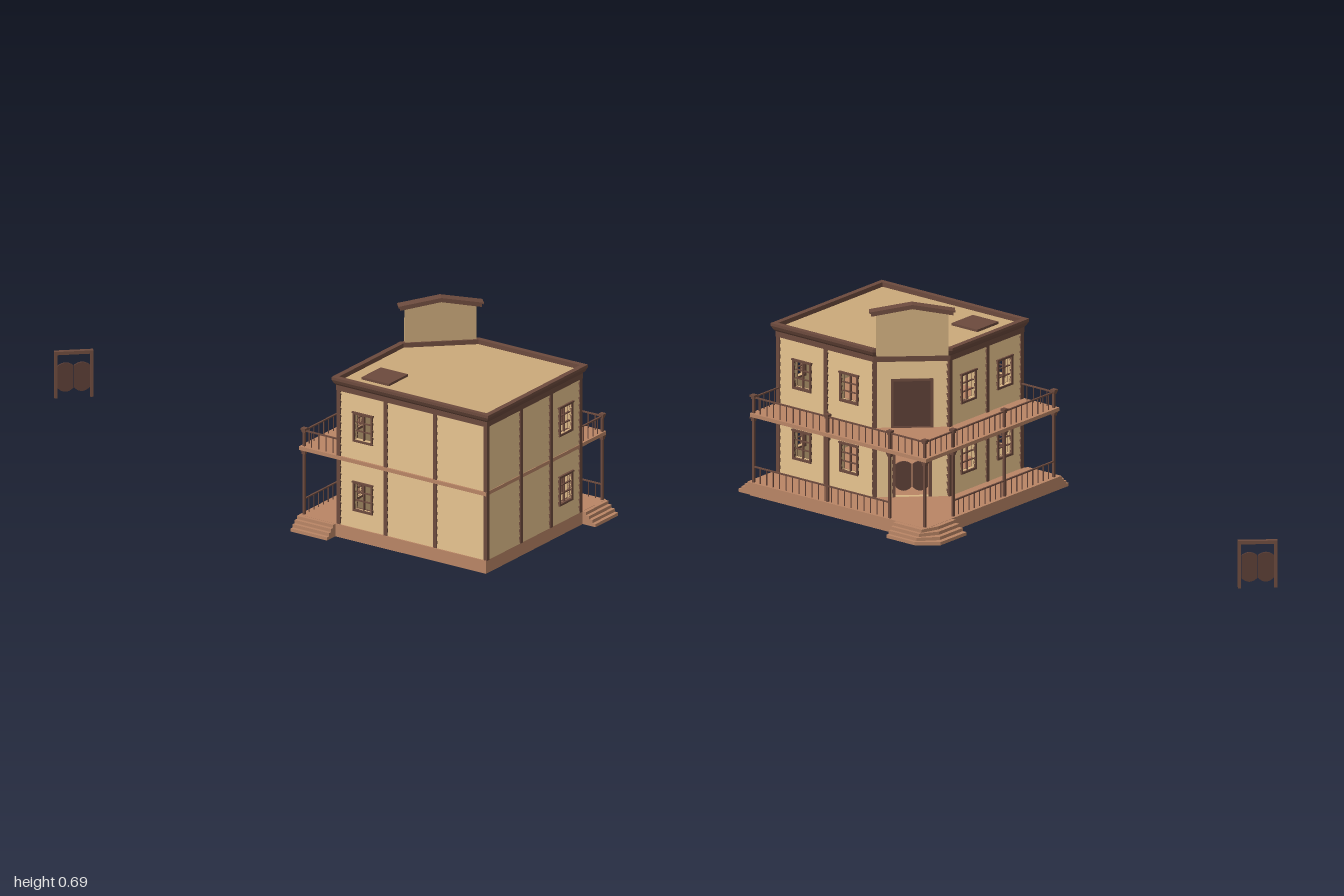
import * as THREE from 'three';
import { mergeGeometries } from 'three/addons/utils/BufferGeometryUtils.js';

const mat = (color) => new THREE.MeshStandardMaterial({ color, flatShading: true });
const WALL = mat(0xd8b684), ROOF = mat(0xcaa97a), BASE = mat(0xb98565), TRIM = mat(0x6c4a3d), DARK = mat(0x5a3d35);

const BASE_Y = 0.043, FLOOR_Y = 0.262, DECK_Y = 0.274, WALL_TOP = 0.5;
// Wall corners (x, z), walked so that every wall faces outward
const PLAN = [[0.38, 0.325], [0.945, 0.325], [0.945, -0.19], [0.555, -0.19], [0.38, -0.03]];

function add(parent, name, geo, material) {
  const m = new THREE.Mesh(geo, material);
  m.name = name;
  parent.add(m);
  return m;
}
// Box given by its lower and upper limits
const box = (x0, x1, y0, y1, z0, z1) =>
  new THREE.BoxGeometry(x1 - x0, y1 - y0, z1 - z0).translate((x0 + x1) / 2, (y0 + y1) / 2, (z0 + z1) / 2);

const polygon = (pts) => new THREE.Shape(pts.map(([x, y]) => new THREE.Vector2(x, y)));
const rect = (x0, x1, y0, y1) => [[x0, y0], [x1, y0], [x1, y1], [x0, y1]];
const extrude = (shape, z0, z1) =>
  new THREE.ExtrudeGeometry(shape, { depth: z1 - z0, bevelEnabled: false, curveSegments: 8 }).translate(0, 0, z0);

// Horizontal slab over an (x, z) outline
const slab = (pts, y0, y1) => extrude(polygon(pts.map(([x, z]) => [x, -z])), y0, y1).rotateX(-Math.PI / 2);

// Rectangular panel with rectangular openings {x0,x1,y0,y1}
function panel(pts, openings, z0, z1) {
  const s = polygon(pts);
  for (const o of openings) s.holes.push(polygon(rect(o.x0, o.x1, o.y0, o.y1)));
  return extrude(s, z0, z1);
}

// Outline grown by d with mitred corners
function offset(pts, d) {
  const n = pts.length;
  const normal = (a, b) => {
    const l = Math.hypot(b[0] - a[0], b[1] - a[1]);
    return [-(b[1] - a[1]) / l, (b[0] - a[0]) / l];
  };
  return pts.map((p, i) => {
    const u = normal(pts[(i + n - 1) % n], p), v = normal(p, pts[(i + 1) % n]);
    const k = d / (1 + u[0] * v[0] + u[1] * v[1]);
    return [p[0] + k * (u[0] + v[0]), p[1] + k * (u[1] + v[1])];
  });
}

// Moulding: a profile of [offset, height] carried round the plan
function moulding(profile) {
  const pos = [];
  const rings = profile.map(([d, y]) => offset(PLAN, d).map(([x, z]) => [x, y, z]));
  for (let k = 0; k + 1 < rings.length; k++) {
    for (let i = 0; i < PLAN.length; i++) {
      const j = (i + 1) % PLAN.length, [r, s] = [rings[k], rings[k + 1]];
      for (const p of [r[i], r[j], s[j], r[i], s[j], s[i]]) pos.push(...p);
    }
  }
  const g = new THREE.BufferGeometry();
  g.setAttribute('position', new THREE.Float32BufferAttribute(pos, 3));
  g.computeVertexNormals();
  return g;
}

// Group whose x axis runs from a to b and whose z axis faces outward
function along(parent, name, a, b) {
  const g = new THREE.Group();
  g.name = name;
  g.position.set(a[0], 0, a[1]);
  g.rotation.y = Math.atan2(a[1] - b[1], b[0] - a[0]);
  parent.add(g);
  return g;
}

// Lapped boards, cut round the openings
function siding(len, openings) {
  const step = 0.0246, parts = [];
  for (let r0 = BASE_Y; r0 < WALL_TOP - 0.005; r0 += step) {
    const r1 = Math.min(r0 + step, WALL_TOP);
    const ys = [r0, ...openings.flatMap((o) => [o.y0, o.y1]).filter((y) => y > r0 && y < r1), r1];
    ys.sort((a, b) => a - b);
    for (let k = 0; k + 1 < ys.length; k++) {
      if (ys[k + 1] - ys[k] < 1e-5) continue;
      const mid = (ys[k] + ys[k + 1]) / 2;
      let x = 0;
      const piece = (x0, x1) => {
        const g = box(x0, x1, ys[k], ys[k + 1], -0.003, 1), p = g.attributes.position;
        for (let i = 0; i < p.count; i++)
          if (p.getZ(i) > 0.5) p.setZ(i, 0.005 - 0.005 * (p.getY(i) - r0) / step);
        g.computeVertexNormals();
        parts.push(g);
      };
      for (const o of openings.filter((q) => mid > q.y0 && mid < q.y1).sort((a, b) => a.x0 - b.x0)) {
        piece(x, o.x0);
        x = o.x1;
      }
      piece(x, len);
    }
  }
  return mergeGeometries(parts);
}

function windowFrame(parent, o) {
  const { x0, x1, y0, y1 } = o, cx = (x0 + x1) / 2, h = y1 - y0, e = 0.007;
  const parts = [panel(rect(x0 - e, x1 + e, y0 - e, y1 + e), [o], -0.012, 0.008).toNonIndexed?.() ?? null].filter(Boolean);
  const bars = [box(cx - 0.0022, cx + 0.0022, y0, y1, -0.006, 0.001)];
  for (const k of [1, 2]) bars.push(box(x0, x1, y0 + h * k / 3 - 0.0015, y0 + h * k / 3 + 0.0015, -0.006, 0.001));
  bars.push(box(x0 - 0.009, x1 + 0.009, y1 + 0.003, y1 + 0.008, -0.002, 0.01));
  parts.forEach((p) => add(parent, 'windowFrame', p, TRIM));
  add(parent, 'windowBars', mergeGeometries(bars), TRIM);
}

// Swing doors hung in an open frame, centred on x = 0
function swingDoors(parent) {
  const g = new THREE.Group(), w = 0.0625, t = 0.0075;
  g.name = 'swingDoors';
  for (const s of [-1, 1]) {
    add(g, 'doorPost', box(Math.min(s * w, s * (w - 0.01)), Math.max(s * w, s * (w - 0.01)), 0.043, 0.2, -t, t), TRIM);
    const leaf = new THREE.Shape();
    leaf.moveTo(-0.025, 0.075);
    leaf.quadraticCurveTo(0, 0.05, 0.025, 0.075);
    leaf.lineTo(0.025, 0.15);
    leaf.quadraticCurveTo(0, 0.17, -0.025, 0.15);
    leaf.closePath();
    add(g, 'doorLeaf', extrude(leaf, -0.003, 0.003).translate(s * 0.0262, 0, 0), DARK);
  }
  add(g, 'doorHead', box(-w, w, 0.189, 0.2, -t, t), TRIM);
  parent.add(g);
  return g;
}

function railing(parent, a, b, y) {
  const g = along(parent, 'railing', a, b), len = Math.hypot(b[0] - a[0], b[1] - a[1]);
  const n = Math.max(2, Math.round(len / 0.027)), parts = [box(0, len, y + 0.05, y + 0.054, -0.003, 0.003)];
  for (let i = 1; i < n; i++) parts.push(box(len * i / n - 0.0013, len * i / n + 0.0013, y, y + 0.051, -0.0013, 0.0013));
  add(g, 'railAndBalusters', mergeGeometries(parts), TRIM);
}

function porchPost(parent, [x, z]) {
  const b = (r, y0, y1) => box(x - r, x + r, y0, y1, z - r, z + r);
  add(parent, 'porchPost', mergeGeometries([
    b(0.004, BASE_Y, FLOOR_Y), b(0.0065, 0.248, 0.256), b(0.009, 0.256, FLOOR_Y),
    b(0.004, DECK_Y, 0.327), b(0.0065, 0.321, 0.328), b(0.009, 0.328, 0.335)]), TRIM);
}

export function createModel() {
  const model = new THREE.Group();
  model.name = 'timberHouse';

  // Plinth, balcony deck and stairs
  const deck = [[0.23, 0.335], [0.95, 0.335], [0.95, -0.33], [0.23, -0.33]];
  add(model, 'plinth', slab(deck, 0, BASE_Y), BASE);
  add(model, 'balconyDeck', slab(deck, FLOOR_Y, DECK_Y), BASE);
  for (let k = 0; k < 4; k++) {
    const d = 0.0115 * (4 - k), y0 = k * 0.0107, y1 = y0 + 0.0107 - (k === 3 ? 0.0004 : 0), c = d * 1.3;
    add(model, 'frontStep', box(0.23, 0.37, y0, y1, 0.32, 0.335 + d), BASE);
    add(model, 'sideStep', box(0.93, 0.95 + d * 1.087, y0, y1, -0.325, -0.2), BASE);
    add(model, 'cornerStep', slab([[0.35, -0.2], [0.35, -0.335 - d], [0.235, -0.335 - d],
      [0.23 - c, -0.27 - c], [0.23 - c, -0.2]], y0, y1), BASE);
  }

  // Walls: pilaster positions, window centres, or the corner doorway
  const specs = [
    { name: 'frontWall', posts: [0, 0.18, 0.37], windows: [0.0925] },
    { name: 'leftWall', posts: [0, 0.185, 0.35], windows: [0.432] },
    { name: 'backWall', posts: [0, 0.195], windows: [0.0975, 0.29] },
    { name: 'cornerWall', posts: [0], windows: [], doors: true },
    { name: 'rightWall', posts: [0, 0.185], windows: [0.09, 0.27] },
  ];
  specs.forEach((s, i) => {
    const a = PLAN[i], b = PLAN[(i + 1) % PLAN.length], len = Math.hypot(b[0] - a[0], b[1] - a[1]);
    const g = along(model, s.name, a, b), c = len / 2;
    const wins = s.windows.flatMap((x) => [0.107, 0.342].map((y) => ({ x0: x - 0.031, x1: x + 0.031, y0: y, y1: y + 0.086 })));
    const holes = s.doors ? [{ x0: c - 0.06, x1: c + 0.06, y0: BASE_Y + 0.001, y1: 0.197 },
      { x0: c - 0.06, x1: c + 0.06, y0: DECK_Y, y1: 0.43 }] : wins;
    add(g, 'wallPanel', panel(rect(0, len, BASE_Y, WALL_TOP), holes, -0.01, -0.002), WALL);
    add(g, 'siding', siding(len, holes), WALL);
    wins.forEach((o) => windowFrame(g, o));
    for (const x of s.posts) add(g, 'pilaster', box(x - 0.007, x + 0.007, BASE_Y, WALL_TOP, -0.007, 0.007), TRIM);
    if (!s.doors) return;

    // Corner entrance, upper door and the tall false front above
    swingDoors(g).position.x = c;
    add(g, 'upperDoor', box(c - 0.062, c + 0.062, DECK_Y, 0.432, -0.008, 0.003), DARK);
    add(g, 'upperDoorFrame', panel(rect(c - 0.067, c + 0.067, DECK_Y, 0.437),
      [{ x0: c - 0.059, x1: c + 0.059, y0: DECK_Y + 0.003, y1: 0.429 }], -0.006, 0.008), TRIM);
    const gable = (w, y0, y1, rise) => polygon([[c - w, y0], [c, y0 + rise], [c + w, y0], [c + w, y1], [c, y1 + 0.023], [c - w, y1]]);
    const board = extrude(gable(0.114, 0.52, 0.656, 0), 0, 0.021), p = board.attributes.position;
    for (let k = 0; k < p.count; k++) p.setZ(k, p.getZ(k) + (0.66 - p.getY(k)) * 0.06);
    board.computeVertexNormals();
    add(g, 'falseFront', board, ROOF);
    add(g, 'falseFrontMoulding', extrude(gable(0.13, 0.652, 0.664, 0.023), -0.004, 0.025), TRIM);
    add(g, 'falseFrontCap', extrude(gable(0.136, 0.662, 0.667, 0.023), -0.007, 0.028), TRIM);
  });

  // Cornice, roof and hatch
  add(model, 'cornice', moulding([[-0.005, 0.495], [0.008, 0.495], [0.008, 0.513], [0.013, 0.519],
    [0.019, 0.531], [0.019, 0.54], [0.001, 0.54], [0.001, 0.518]]), TRIM);
  add(model, 'roof', slab(offset(PLAN, 0.002), 0.512, 0.525), ROOF);
  add(model, 'roofHatch', box(0.43, 0.535, 0.52, 0.533, 0.17, 0.275), TRIM);

  // Porch posts and railings
  const X = 0.242, Z = -0.32;
  [[X, Z], [0.385, Z], [0.64, Z], [0.942, Z], [X, -0.18], [X, 0.075], [X, 0.322]].forEach((q) => porchPost(model, q));
  railing(model, [0.942, Z], [0.385, Z], BASE_Y);
  railing(model, [X, -0.18], [X, 0.322], BASE_Y);
  railing(model, [0.942, Z], [X, Z], DECK_Y);
  railing(model, [X, Z], [X, 0.322], DECK_Y);
  railing(model, [X, 0.322], [0.38, 0.322], DECK_Y);
  railing(model, [0.942, -0.19], [0.942, Z], DECK_Y);

  // Spare pair of swing doors standing apart
  const spare = swingDoors(model);
  spare.name = 'spareSwingDoors';
  spare.position.set(-0.9465, 0, -0.111);
  spare.rotation.y = Math.atan2(-0.16, -0.175) + Math.PI * 2;
  return model;
}
